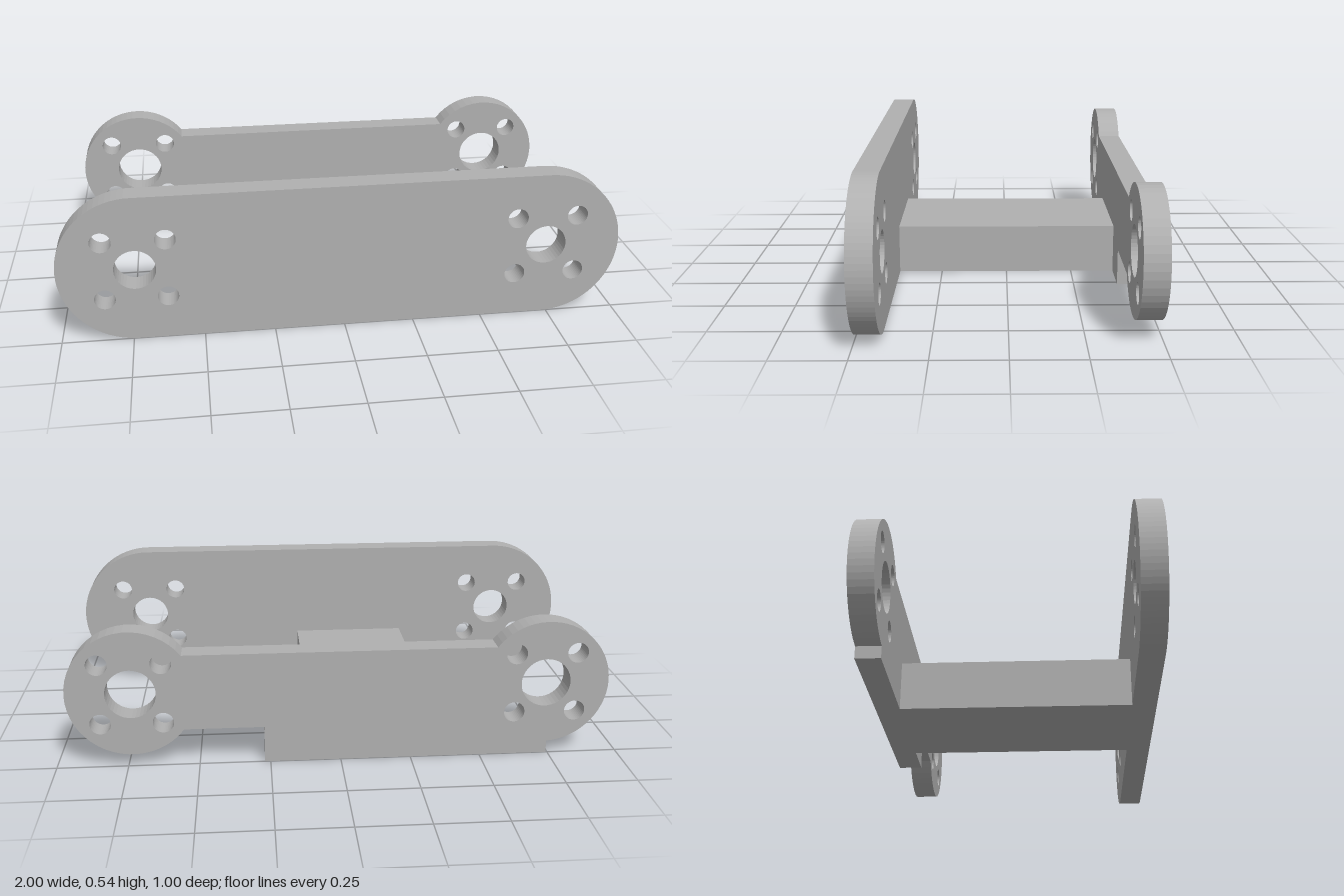
import * as THREE from 'three';

const CY = 0.27, CX = 0.73, THICK = 0.087;

// Bearing hole with four bolt holes around it, at both ends of a plate
function addHoles(shape, bore) {
  const hole = (x, y, r) => {
    const p = new THREE.Path();
    p.absarc(x, y, r, 0, Math.PI * 2, true);
    shape.holes.push(p);
  };
  for (const s of [-1, 1]) {
    hole(s * CX, CY, bore);
    for (const dx of [-0.109, 0.109])
      for (const dy of [-0.109, 0.109]) hole(s * CX + dx, CY + dy, 0.037);
  }
}

function plate(name, shape, z, material) {
  const geo = new THREE.ExtrudeGeometry(shape, { depth: THICK, bevelEnabled: false, curveSegments: 20 });
  const mesh = new THREE.Mesh(geo, material);
  mesh.name = name;
  mesh.position.z = z;
  return mesh;
}

export function createModel() {
  const group = new THREE.Group();
  group.name = 'linkBracket';
  const grey = new THREE.MeshStandardMaterial({ color: 0xb0b0b0, flatShading: true });
  grey.name = 'grey';

  // Front plate: rounded bar
  const front = new THREE.Shape();
  front.absarc(CX, CY, 0.27, -Math.PI / 2, Math.PI / 2, false);
  front.absarc(-CX, CY, 0.27, Math.PI / 2, Math.PI * 1.5, false);
  front.closePath();
  addHoles(front, 0.073);
  group.add(plate('frontPlate', front, 0.5 - THICK, grey));

  // Back plate: two round ends, a narrower bar and an offset foot
  const R = 0.226, half = 0.137, a = Math.asin(half / R);
  const footLeft = -0.745, footRight = 0.27;
  const back = new THREE.Shape();
  back.absarc(CX, CY, R, a - Math.PI, Math.PI - a, false);
  back.absarc(-CX, CY, R, a, Math.PI * 1.5 - Math.asin((-CX - footLeft) / R), false);
  back.lineTo(footLeft, 0);
  back.lineTo(footRight, 0);
  back.lineTo(footRight, CY - half);
  back.closePath();
  addHoles(back, 0.088);
  group.add(plate('backPlate', back, -0.5, grey));

  // Block joining the two plates
  const bridge = new THREE.Mesh(new THREE.BoxGeometry(0.44, 0.18, 1 - 2 * THICK), grey);
  bridge.name = 'bridge';
  bridge.position.set(-0.112, 0.09, 0);
  group.add(bridge);

  return group;
}
